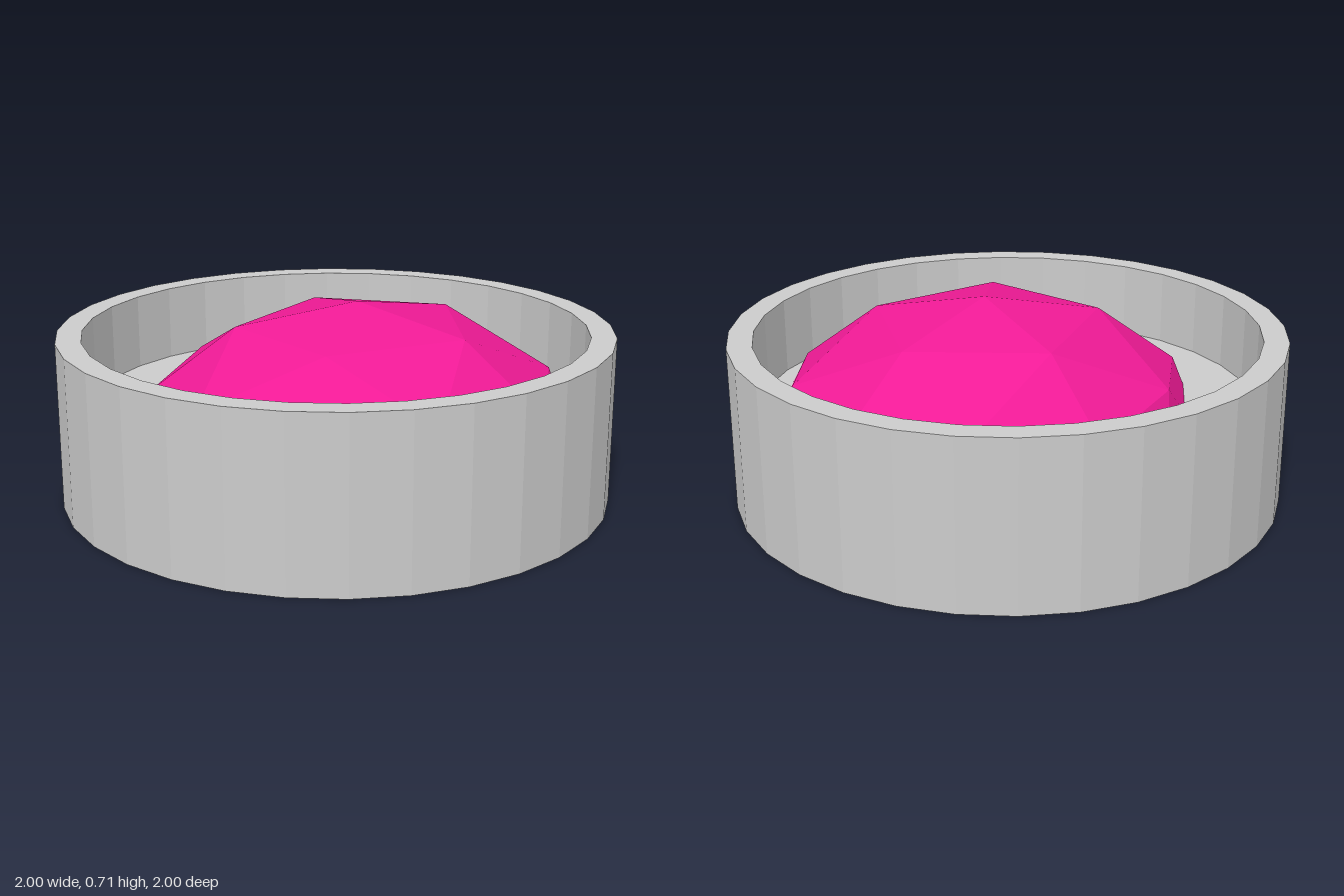
import * as THREE from 'three';

const RIM = 0.605, FLOOR = 0.325, INNER = 0.91;

// Round tray: one closed, faceted profile
function createTray() {
  const profile = [[0, 0], [1, 0], [1, RIM], [INNER, RIM], [INNER, FLOOR], [0, FLOOR]]
    .map(([x, y]) => new THREE.Vector2(x, y));
  const tray = new THREE.Mesh(
    new THREE.LatheGeometry(profile, 32),
    new THREE.MeshStandardMaterial({ color: 0xcccccc, flatShading: true })
  );
  tray.name = 'tray';
  return tray;
}

// Keep the part of a polygon above height h
function clipAbove(polygon, h) {
  const out = [];
  polygon.forEach((a, i) => {
    const b = polygon[(i + 1) % polygon.length];
    if (a.y >= h) out.push(a);
    if ((a.y >= h) !== (b.y >= h)) out.push(a.clone().lerp(b, (h - a.y) / (b.y - a.y)));
  });
  return out;
}

// Faceted dome: squashed icosphere with a vertex on top, cut off at the tray floor
function createDome() {
  const ball = new THREE.IcosahedronGeometry(1, 1);
  ball.rotateZ(-Math.atan(2 / (1 + Math.sqrt(5))));
  ball.scale(0.815, 0.56, 0.855);
  ball.translate(0.09, 0.155, 0);

  const source = ball.attributes.position;
  const positions = [];
  for (let i = 0; i < source.count; i += 3) {
    const triangle = [0, 1, 2].map(k => new THREE.Vector3().fromBufferAttribute(source, i + k));
    const p = clipAbove(triangle, FLOOR);
    for (let k = 1; k + 1 < p.length; k++) {
      for (const v of [p[0], p[k], p[k + 1]]) positions.push(v.x, v.y, v.z);
    }
  }
  const geometry = new THREE.BufferGeometry();
  geometry.setAttribute('position', new THREE.Float32BufferAttribute(positions, 3));
  geometry.computeVertexNormals();

  const dome = new THREE.Mesh(
    geometry,
    new THREE.MeshStandardMaterial({ color: 0xf01a96, flatShading: true })
  );
  dome.name = 'dome';
  return dome;
}

export function createModel() {
  const model = new THREE.Group();
  model.name = 'dishWithDome';
  model.add(createTray(), createDome());
  return model;
}
